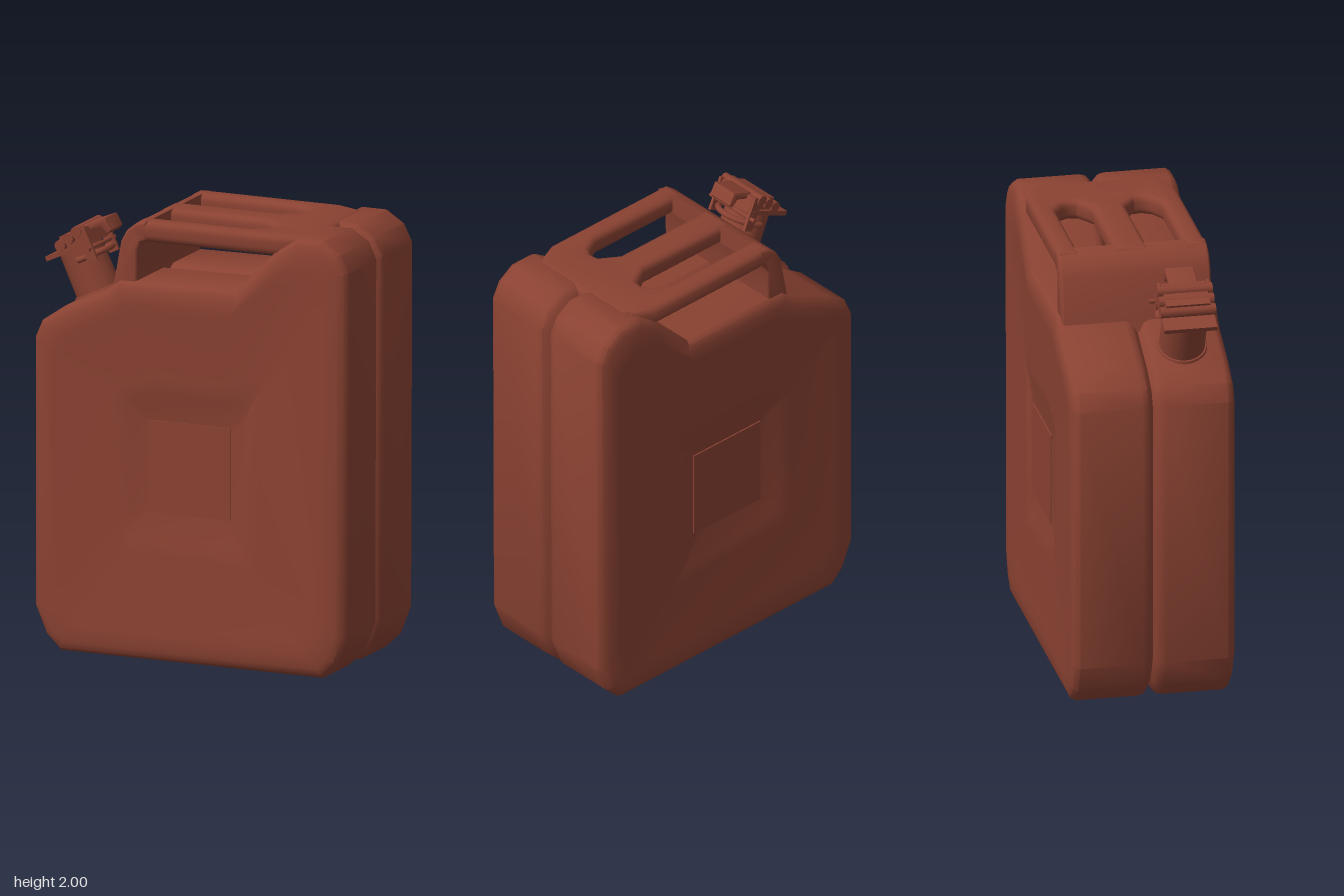
import * as THREE from 'three';
import { toCreasedNormals } from 'three/addons/utils/BufferGeometryUtils.js';

const paint = new THREE.MeshStandardMaterial({ color: 0x8a4232 });
paint.name = 'rust red paint';

function add(parent, name, geometry, x = 0, y = 0, z = 0) {
  const mesh = new THREE.Mesh(geometry, paint);
  mesh.name = name;
  mesh.position.set(x, y, z);
  parent.add(mesh);
  return mesh;
}

// Each row: outline x, y, then the matching corner of the pressed centre
const outline = [
  [-0.64, 0.003, -0.25, 0.61], [0.64, 0.003, 0.21, 0.58], [0.71, 0.07, 0.22, 0.59],
  [0.76, 0.2, 0.225, 0.62], [0.765, 1.86, 0.25, 1.12], [0.725, 1.94, 0.27, 1.15],
  [0.64, 1.995, 0.275, 1.165], [0.52, 1.995, 0.26, 1.17], [0.4, 1.915, 0.23, 1.172],
  [0.22, 1.73, 0.15, 1.175], [-0.35, 1.722, -0.12, 1.185], [-0.42, 1.665, -0.16, 1.185],
  [-0.62, 1.575, -0.22, 1.17], [-0.73, 1.5, -0.27, 1.15], [-0.765, 1.42, -0.285, 1.12],
  [-0.765, 0.2, -0.285, 0.68], [-0.71, 0.07, -0.27, 0.64],
];

// Move the outline inward by a fixed distance
function insetLoop(d) {
  const n = outline.length;
  return outline.map(([x, y], i) => {
    const p = outline[(i + n - 1) % n], q = outline[(i + 1) % n];
    const a = new THREE.Vector2(p[1] - y, x - p[0]).normalize();
    const b = new THREE.Vector2(y - q[1], q[0] - x).normalize();
    const m = a.clone().add(b).normalize();
    const k = d / Math.max(m.dot(b), 0.5);
    return [x + m.x * k, y + m.y * k];
  });
}

// Blend from the outline to the pressed centre
const blendLoop = t => outline.map(([x, y, u, v]) => [x + (u - x) * t, y + (v - y) * t]);

const centreZ = 0.35;

function bodyGeometry() {
  // Rounded seam lip, side wall, rim, shallow panels, then the step to the centre
  const half = [
    [insetLoop(0.024), 0.011], [insetLoop(0.007), 0.028], [insetLoop(0), 0.055],
    [insetLoop(0), 0.335], [insetLoop(0.014), 0.357], [insetLoop(0.045), 0.37],
    [blendLoop(0.19), 0.374], [blendLoop(0.27), 0.369], [blendLoop(0.8), 0.366],
    [blendLoop(0.92), 0.362], [blendLoop(1), centreZ],
  ];
  const rings = [
    ...half.map(([l, z]) => [l, -z]).reverse(),
    [insetLoop(0.042), 0],
    ...half,
  ];
  const n = outline.length, pos = [], index = [];
  for (const [loop, z] of rings) for (const [x, y] of loop) pos.push(x, y, z);
  for (let k = 0; k < rings.length - 1; k++) {
    for (let i = 0; i < n; i++) {
      const j = (i + 1) % n, a = k * n + i, b = k * n + j;
      index.push(a, b, b + n, a, b + n, a + n);
    }
  }
  // Centre caps
  const last = (rings.length - 1) * n, c = rings.length * n;
  pos.push(0, 0.9, -centreZ, 0, 0.9, centreZ);
  for (let i = 0; i < n; i++) {
    const j = (i + 1) % n;
    index.push(c, j, i, c + 1, last + i, last + j);
  }
  const g = new THREE.BufferGeometry();
  g.setAttribute('position', new THREE.Float32BufferAttribute(pos, 3));
  g.setIndex(index);
  return toCreasedNormals(g, 0.65);
}

const polygon = pts => new THREE.Shape(pts.map(([x, y]) => new THREE.Vector2(x, y)));

// Extrusion with a rounded edge that stays inside the drawn shape
function roundedExtrude(shape, depth, r) {
  const g = new THREE.ExtrudeGeometry(shape, {
    depth: depth - 2 * r, bevelThickness: r, bevelSize: r, bevelOffset: -r, bevelSegments: 4,
  });
  g.translate(0, 0, r);
  return toCreasedNormals(g, 0.7);
}

function createHandle() {
  const handle = new THREE.Group();
  handle.name = 'tripleHandle';

  // Three grips joined at the right; the leg closes the two pointed slots
  const slot = [[-0.28, 0.24], [0.24, 0.24], [0.31, 0.2], [0.33, 0.165], [0.325, 0.13], [0.24, 0.075], [-0.28, 0.075]];
  const mirroredSlot = slot.map(([x, z]) => [x, -z]).reverse();
  const plan = polygon([
    [-0.28, -0.34], [0.42, -0.34], [0.56, -0.28], [0.56, 0.28], [0.42, 0.34], [-0.28, 0.34],
    ...slot, ...mirroredSlot,
  ]);
  const grips = roundedExtrude(plan, 0.096, 0.032);
  grips.rotateX(-Math.PI / 2);
  add(handle, 'grips', grips, 0, 1.902, 0);

  // Wide leg rising from the shoulder and curving into the grips
  const leg = polygon([
    [-0.4, 1.64], [-0.27, 1.68], [-0.268, 1.86], [-0.25, 1.9], [-0.225, 1.91], [-0.225, 1.996],
    [-0.28, 1.982], [-0.32, 1.95], [-0.348, 1.9], [-0.385, 1.7],
  ]);
  add(handle, 'handleLeg', roundedExtrude(leg, 0.68, 0.012), 0, 0, -0.34);
  return handle;
}

function createSpout() {
  const spout = new THREE.Group();
  spout.name = 'spout';
  spout.position.set(-0.53, 1.61, 0.17);
  spout.rotation.z = 0.436;

  add(spout, 'neckBase', new THREE.CylinderGeometry(0.11, 0.12, 0.025, 24), 0, 0.003, 0);
  add(spout, 'neck', new THREE.CylinderGeometry(0.1, 0.103, 0.24, 24), 0, 0.1, 0);
  add(spout, 'capPlate', new THREE.BoxGeometry(0.22, 0.022, 0.24), -0.012, 0.228, 0);
  add(spout, 'capCore', new THREE.BoxGeometry(0.14, 0.07, 0.2), 0.04, 0.262, 0);

  // Ribs across the cap
  for (const x of [-0.03, 0.02, 0.07]) {
    const rib = add(spout, 'capRib', new THREE.CylinderGeometry(0.026, 0.026, 0.25, 10), x, 0.26 + (x + 0.03) * 0.3, 0);
    rib.rotation.x = Math.PI / 2;
  }
  // Hinge pin and side arms
  const pin = add(spout, 'hingePin', new THREE.CylinderGeometry(0.01, 0.01, 0.29, 8), 0.1, 0.2, 0);
  pin.rotation.x = Math.PI / 2;
  for (const s of [-1, 1]) {
    add(spout, 'lockArm', new THREE.BoxGeometry(0.05, 0.16, 0.014), 0.09, 0.22, s * 0.112);
  }
  // Curved locking lever overhanging the neck
  const lever = polygon([
    [0.02, 0.29], [0.1, 0.3], [0.2, 0.295], [0.205, 0.235], [0.185, 0.225], [0.165, 0.265], [0.1, 0.27], [0.02, 0.26],
  ]);
  add(spout, 'lever', roundedExtrude(lever, 0.13, 0.004), 0, 0.005, -0.065);
  const bail = add(spout, 'bail', new THREE.TorusGeometry(0.115, 0.014, 8, 20, Math.PI), 0.02, 0.17, 0);
  bail.rotation.set(-Math.PI / 2, 0, -Math.PI / 2);
  return spout;
}

export function createModel() {
  const model = new THREE.Group();
  model.name = 'fuelCan';
  add(model, 'body', bodyGeometry());
  // Slightly raised square on each pressed centre
  for (const s of [-1, 1]) {
    add(model, 'centrePanel', new THREE.BoxGeometry(0.4, 0.42, 0.009), -0.005, 0.89, s * (centreZ + 0.002));
  }
  model.add(createHandle(), createSpout());
  return model;
}
